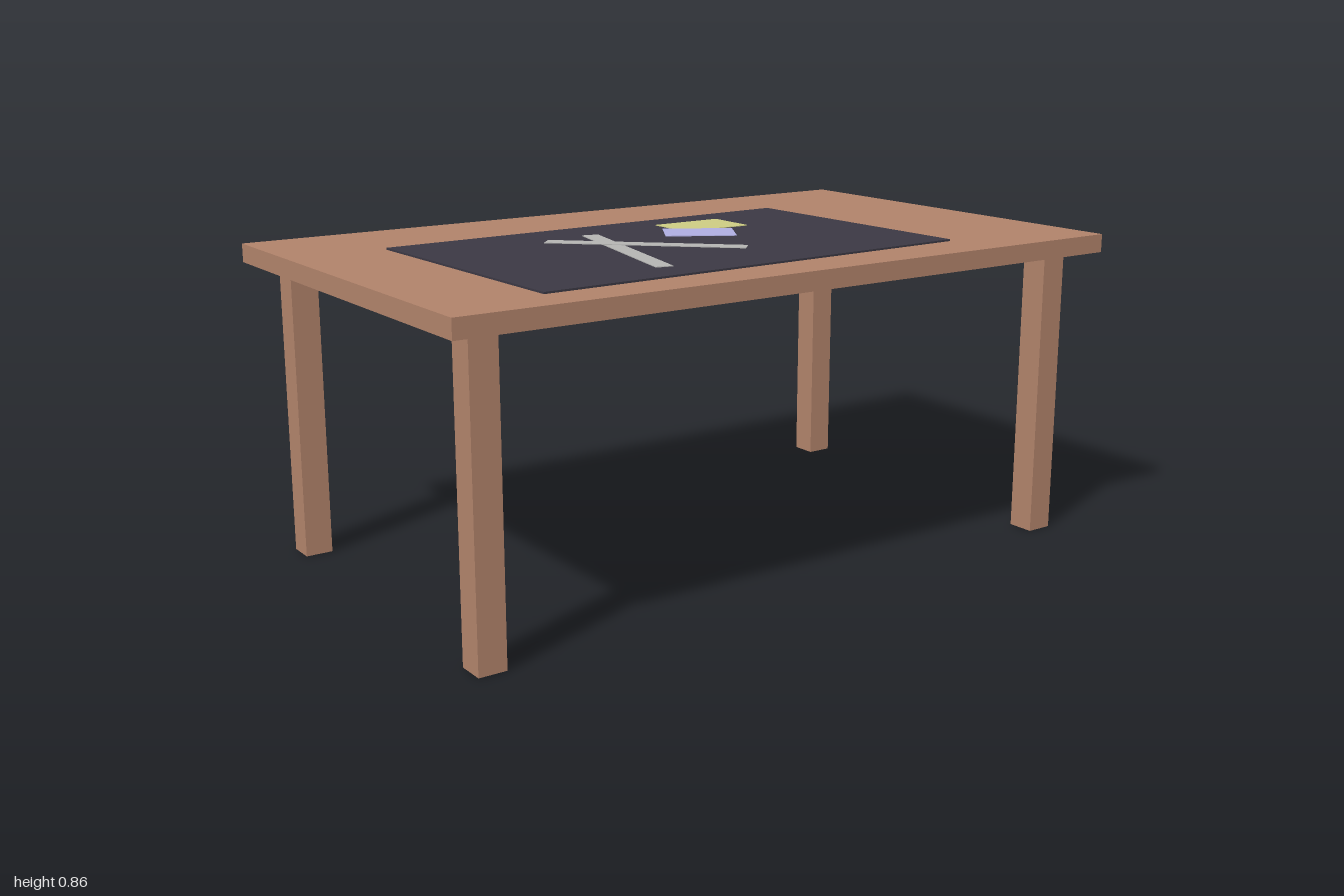
import * as THREE from 'three';

export function createModel() {
  const model = new THREE.Group();
  const material = (color) => new THREE.MeshStandardMaterial({ color });
  const wood = material(0xb0826a);
  const slate = material(0x3b3843);
  const grey = material(0xb4b4b2);

  // Box resting on a given height, turned about the vertical axis
  const addBox = (name, [w, h, d], [x, bottom, z], mat, turn = 0) => {
    const mesh = new THREE.Mesh(new THREE.BoxGeometry(w, h, d), mat);
    mesh.name = name;
    mesh.position.set(x, bottom + h / 2, z);
    mesh.rotation.y = turn;
    model.add(mesh);
  };

  // Table
  addBox('tableTop', [2, 0.05, 1.2], [0, 0.802, 0], wood);
  for (const [side, sx] of [['Left', 1], ['Right', -1]]) {
    for (const [end, sz] of [['front', 1], ['back', -1]]) {
      addBox(`${end}${side}Leg`, [0.075, 0.802, 0.075], [sx * 0.89, 0, sz * 0.493], wood);
    }
  }

  // Slightly turned mat
  addBox('mat', [1.28, 0.005, 0.77], [-0.08, 0.852, 0.082], slate, 0.027);

  // Crossed strips, one over the other
  const addStrip = (name, [x1, z1], [x2, z2], bottom) => {
    const dx = x2 - x1, dz = z2 - z1;
    addBox(name, [Math.hypot(dx, dz), 0.002, 0.046],
      [(x1 + x2) / 2, bottom, (z1 + z2) / 2], grey, Math.atan2(-dz, dx));
  };
  addStrip('lowerStrip', [-0.187, -0.158], [-0.304, 0.37], 0.857);
  addStrip('upperStrip', [-0.347, -0.12], [0.037, 0.252], 0.859);

  // Overlapping paper notes
  addBox('yellowNote', [0.211, 0.002, 0.149], [0.17, 0.857, -0.136], material(0xcccb82));
  addBox('lavenderNote', [0.193, 0.002, 0.13], [0.077, 0.86, -0.017], material(0xaeade0), -0.535);

  return model;
}
